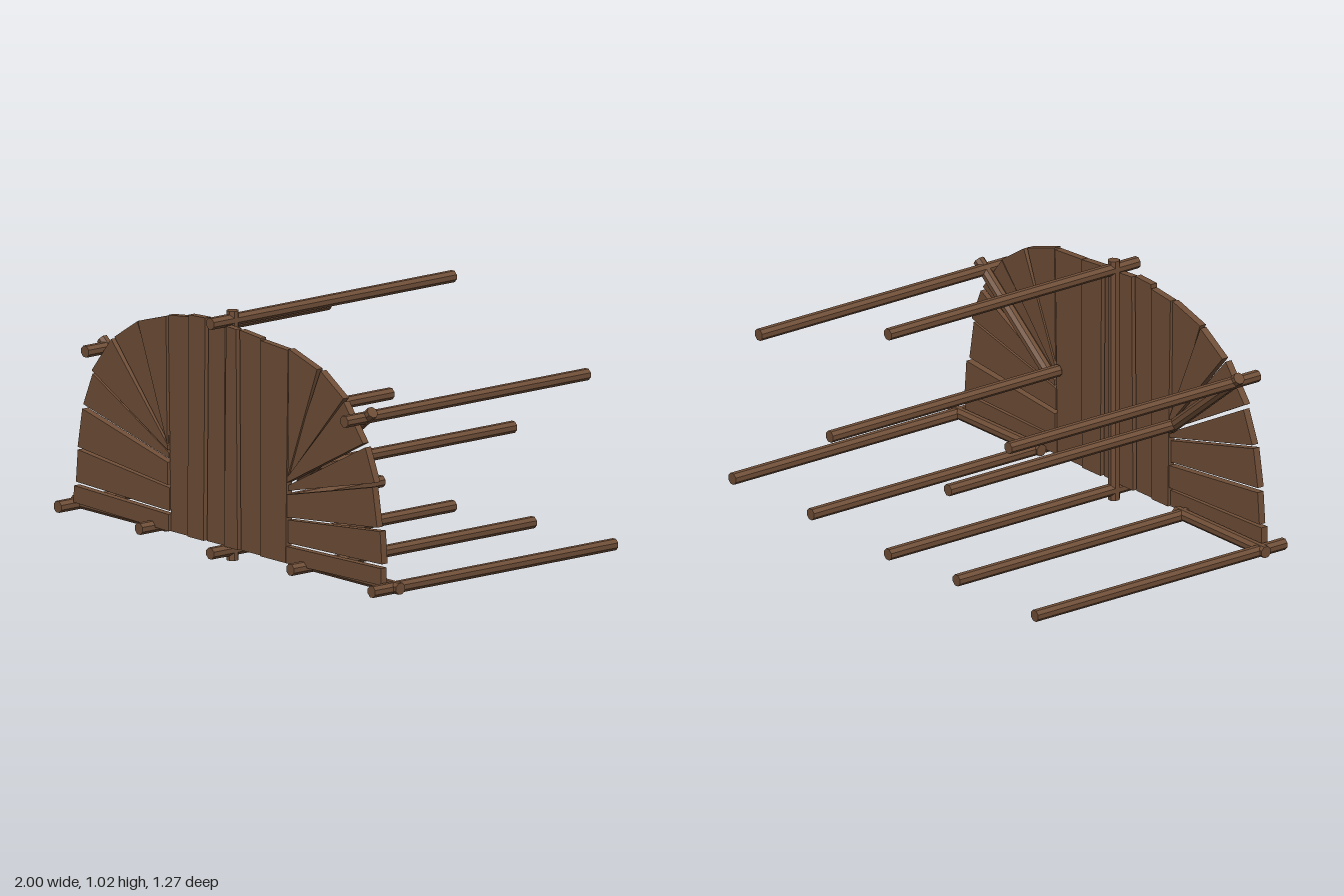
import * as THREE from 'three';

const wood = new THREE.MeshStandardMaterial({ color: 0x6f4e37, flatShading: true });
wood.name = 'brown wood';
const R = 0.025;
const POST_Z = 0.517;

// Eight-sided pole between two points
function pole(name, a, b) {
  const from = new THREE.Vector3(...a), to = new THREE.Vector3(...b);
  const dir = to.clone().sub(from);
  const geo = new THREE.CylinderGeometry(R, R, dir.length(), 8);
  geo.rotateY(Math.PI / 8);
  const mesh = new THREE.Mesh(geo, wood);
  mesh.name = name;
  mesh.position.copy(from).add(to).multiplyScalar(0.5);
  mesh.quaternion.setFromUnitVectors(new THREE.Vector3(0, 1, 0), dir.normalize());
  return mesh;
}

// Flat board cut to an outline, 0.03 thick
function plank(name, points, z, side = 1) {
  const shape = new THREE.Shape(points.map(([x, y]) => new THREE.Vector2(x * side, y)));
  const geo = new THREE.ExtrudeGeometry(shape, { depth: 0.03, bevelEnabled: false });
  const mesh = new THREE.Mesh(geo, wood);
  mesh.name = name;
  mesh.position.z = z;
  return mesh;
}

export function createModel() {
  const model = new THREE.Group();
  model.name = 'woodenFrame';

  // Long poles running front to back: x, y, front end z
  const rails = [
    ['ridgePole', -0.03, 0.982, 0.635], ['groundPole', -0.03, 0.043, 0.635],
    ['upperPole', -0.797, 0.73, 0.635], ['upperPole', 0.792, 0.73, 0.635],
    ['innerPole', -0.412, 0.433, 0.53], ['innerPole', 0.34, 0.433, 0.53],
    ['outerBasePole', -0.965, 0.065, 0.635], ['outerBasePole', 0.96, 0.065, 0.635],
    ['innerBasePole', -0.467, 0.065, 0.635], ['innerBasePole', 0.461, 0.065, 0.635],
  ];
  for (const [name, x, y, z] of rails) model.add(pole(name, [x, y, -0.635], [x, y, z]));

  // Cross poles behind the boards
  model.add(pole('centrePost', [-0.03, 0, POST_Z], [-0.03, 1.02, POST_Z]));
  for (const s of [-1, 1]) {
    model.add(pole('basePole', [s, 0.067, POST_Z], [s * 0.43, 0.067, POST_Z]));
    model.add(pole('diagonalPole', [s * 0.828, 0.757, POST_Z], [s * 0.385, 0.41, POST_Z]));
  }

  // Upright boards: bottom left x, bottom right x, top left x, y, top right x, y
  const uprights = [
    [-0.357, -0.254, -0.374, 0.945, -0.25, 0.96],
    [-0.245, -0.147, -0.238, 0.972, -0.136, 0.977],
    [-0.136, -0.03, -0.127, 0.973, -0.027, 0.966],
    [-0.02, 0.062, -0.008, 0.967, 0.053, 0.964],
    [0.072, 0.19, 0.064, 0.962, 0.191, 0.951],
    [0.2, 0.357, 0.203, 0.946, 0.372, 0.936],
  ];
  uprights.forEach(([bl, br, tl, tly, tr, tryy], i) => model.add(
    plank('uprightBoard', [[bl, 0.064], [br, 0.064], [tr, tryy], [tl, tly]], i % 2 ? 0.54 : 0.53)));

  // Fanned boards on each side, from the arch top down to the base
  const fan = [
    [[0.37, 0.42], [0.55, 0.89], [0.376, 0.942]],
    [[0.366, 0.42], [0.366, 0.45], [0.562, 0.885], [0.702, 0.797]],
    [[0.366, 0.395], [0.366, 0.416], [0.713, 0.787], [0.832, 0.638]],
    [[0.366, 0.36], [0.366, 0.383], [0.836, 0.622], [0.893, 0.487]],
    [[0.366, 0.253], [0.366, 0.345], [0.89, 0.47], [0.918, 0.31]],
    [[0.364, 0.146], [0.364, 0.24], [0.927, 0.295], [0.938, 0.162]],
    [[0.361, 0.064], [0.361, 0.133], [0.941, 0.147], [0.943, 0.078]],
  ];
  for (const s of [-1, 1]) {
    fan.forEach((points, i) => model.add(plank('fanBoard', points, i % 2 ? 0.532 : 0.54, s)));
  }
  return model;
}
